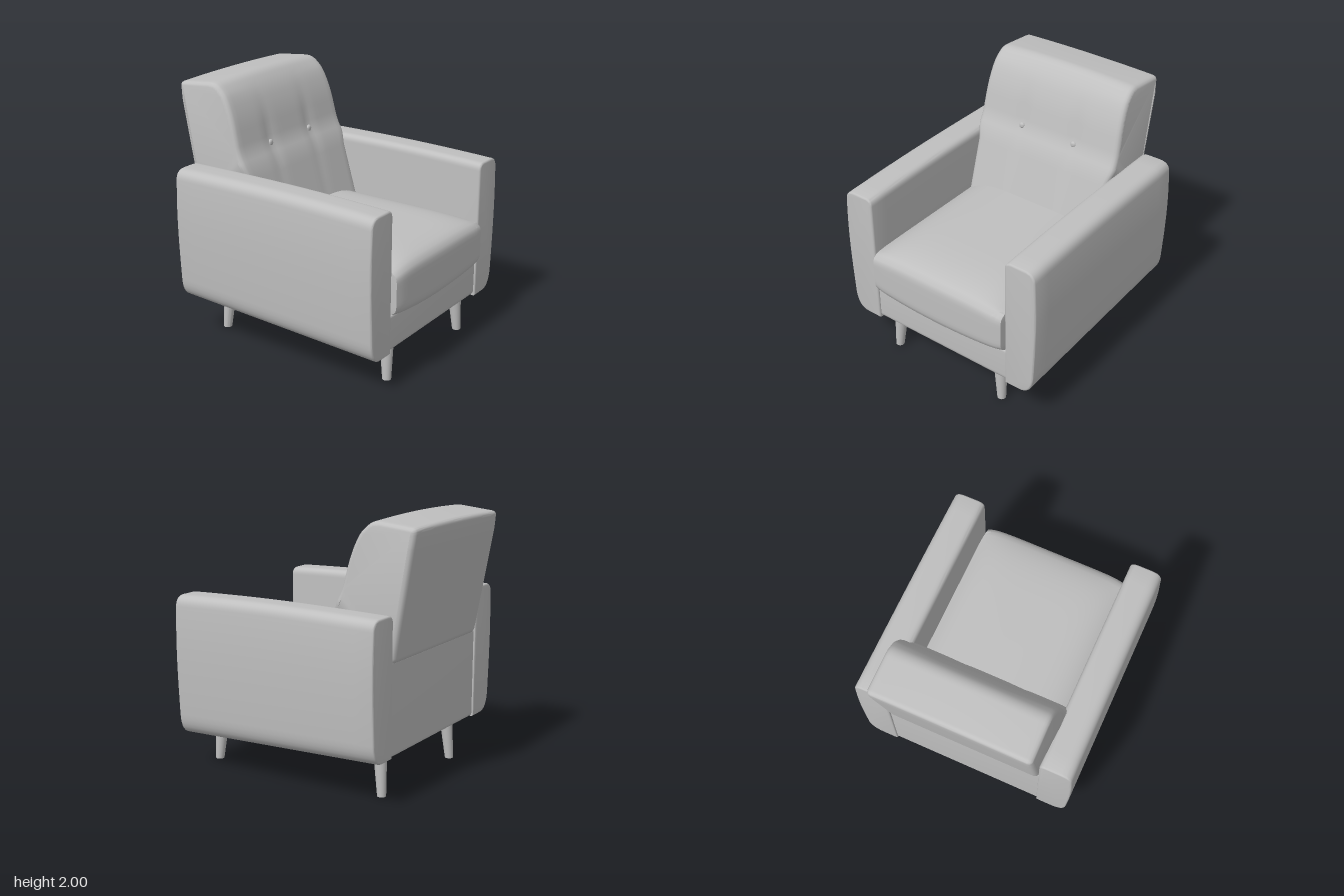
import * as THREE from 'three';
import { toCreasedNormals } from 'three/addons/utils/BufferGeometryUtils.js';

// Closed outline from [x, y, cornerRadius] points
function roundedShape(pts) {
  const shape = new THREE.Shape();
  const n = pts.length;
  pts.forEach(([x, y, r], i) => {
    const toward = ([px, py]) => {
      const d = Math.hypot(px - x, py - y), k = Math.min(r / d, 0.49);
      return [x + (px - x) * k, y + (py - y) * k];
    };
    const a = toward(pts[(i + n - 1) % n]), b = toward(pts[(i + 1) % n]);
    if (i === 0) shape.moveTo(...a); else shape.lineTo(...a);
    if (r > 0) shape.quadraticCurveTo(x, y, ...b);
  });
  shape.closePath();
  return shape;
}

// Extrusion centred on z = 0 whose bevel stays inside the outline
function extrude(shape, length, bevel, steps) {
  const g = new THREE.ExtrudeGeometry(shape, {
    depth: length - 2 * bevel, steps, curveSegments: 8,
    bevelEnabled: bevel > 0, bevelThickness: bevel, bevelSize: bevel,
    bevelOffset: -bevel, bevelSegments: 3,
  });
  return g.translate(0, 0, -(length / 2 - bevel));
}

// Side profile of [z, y, radius] points swept across the width
function sweepAcross(pts, width, bevel, steps) {
  const shape = roundedShape(pts.map(([z, y, r]) => [-z, y, r]));
  return extrude(shape, width, bevel, steps).rotateY(Math.PI / 2);
}

// Move every vertex by a rule
function deform(g, rule) {
  const p = g.attributes.position, v = new THREE.Vector3();
  for (let i = 0; i < p.count; i++) {
    rule(v.fromBufferAttribute(p, i));
    p.setXYZ(i, v.x, v.y, v.z);
  }
  return g;
}

export function createModel() {
  const chair = new THREE.Group();
  chair.name = 'armchair';
  const grey = new THREE.MeshStandardMaterial({ color: 0xbfbfbf });
  grey.name = 'grey';
  const add = (name, g, crease = 0.6) => {
    const mesh = new THREE.Mesh(toCreasedNormals(g, crease), grey);
    mesh.name = name;
    chair.add(mesh);
    return mesh;
  };

  // Arms: rounded panels, underside rising to the back, top sagging at the front
  for (const side of [1, -1]) {
    const outline = [
      [0.605, 0.265, 0], [0.842, 0.265, 0.17], [0.874, 0.92, 0.4],
      [0.855, 1.37, 0.085], [0.605, 1.37, 0.06],
    ].map(([x, y, r]) => [x * side, y, r]);
    const g = extrude(roundedShape(outline), 1.735, 0.014, 12).translate(0, 0, 0.053);
    deform(g, (v) => {
      const t = (0.92 - v.z) / 1.735, h = (v.y - 0.265) / 1.105;
      v.y += 0.07 * t * (1 - h) - 0.025 * h * Math.max(0, 1 - t * 1.6) ** 2 - 0.008 * h * t ** 4;
    });
    add(side > 0 ? 'leftArm' : 'rightArm', g);
  }

  // Frame: front rail, deck and back panel in one profile
  add('frame', sweepAcross([
    [0.905, 0.265, 0.05], [0.905, 0.55, 0.02], [-0.55, 0.55, 0],
    [-0.55, 1.0, 0], [-0.8, 1.03, 0.02], [-0.8, 0.335, 0.03],
  ], 1.22, 0, 1));

  // Seat cushion: crowned top, gently bowed bottom, softened front edge
  const seat = new THREE.BoxGeometry(2, 2, 2, 28, 12, 28);
  deform(seat, (v) => {
    const u = v.x, h = v.y, t = (v.z + 1) / 2;
    const top = 0.88 + 0.095 * (1 - Math.abs(u) ** 5) * (1 - 0.65 * t ** 8);
    const bottom = 0.56 - 0.045 * (1 - u * u);
    v.y = bottom + (top - bottom) * (h + 1) / 2;
    v.x = u * (0.608 - 0.012 * t ** 12);
    v.z = -0.45 + 1.42 * t - (0.045 * h ** 8 + 0.015 * u ** 12) * t ** 8;
  });
  add('seatCushion', seat);

  // Back cushion: leaning profile, bulged sides, crowned top and shallow tufting
  const back = sweepAcross([
    [-0.19, 0.88, 0], [-0.335, 1.37, 0.08], [-0.4, 1.49, 0.06], [-0.46, 1.74, 0.1],
    [-0.53, 1.9, 0.08], [-0.63, 2.005, 0.06], [-0.975, 1.965, 0.04],
    [-0.965, 1.86, 0.05], [-0.815, 1.02, 0.03], [-0.6, 0.9, 0],
  ], 1.2, 0.035, 30);
  deform(back, (v) => {
    const u = v.x / 0.6;
    const bulge = v.y < 1.42
      ? 0.605 + 0.028 * THREE.MathUtils.smoothstep(v.y, 1.28, 1.42)
      : 0.633 - 0.03 * ((v.y - 1.42) / 0.56) ** 1.5;
    v.x = u * bulge;
    if (v.y > 1.9) v.y -= 0.018 * u * u * (v.y - 1.9) / 0.1;
    const middle = -0.66 - 0.18 * (v.y - 1.4);
    if (v.z > middle && v.y > 1.1 && v.y < 1.93) {
      const groove = Math.exp(-(((Math.abs(v.x) - 0.24) / 0.05) ** 2));
      v.z -= 0.014 * groove * Math.exp(-(((v.y - 1.5) / 0.25) ** 2));
    }
  });
  add('backCushion', back);

  for (const side of [1, -1]) {
    // Tufting button
    const button = add('button', new THREE.SphereGeometry(0.026, 16, 12));
    button.position.set(side * 0.24, 1.49, -0.413);
    button.scale.z = 0.7;

    // Tapered splayed legs and small glides: [name, topY, topZ, bottomZ, glideZ]
    for (const [name, topY, topZ, footZ, glideZ] of [
      ['frontLeg', 0.3, 0.808, 0.826, 0.83], ['backLeg', 0.36, -0.638, -0.667, -0.63],
    ]) {
      const leg = new THREE.CylinderGeometry(0.052, 0.033, topY, 20).translate(0, topY / 2, 0);
      deform(leg, (v) => {
        const t = v.y / topY;
        v.x += side * (0.502 - 0.02 * t);
        v.z += footZ + (topZ - footZ) * t;
      });
      add(name, leg);
      const glide = add('glide', new THREE.CylinderGeometry(0.012, 0.012, 0.04, 10));
      glide.position.set(side * 0.59, topY - 0.033, glideZ);
    }
  }
  return chair;
}
